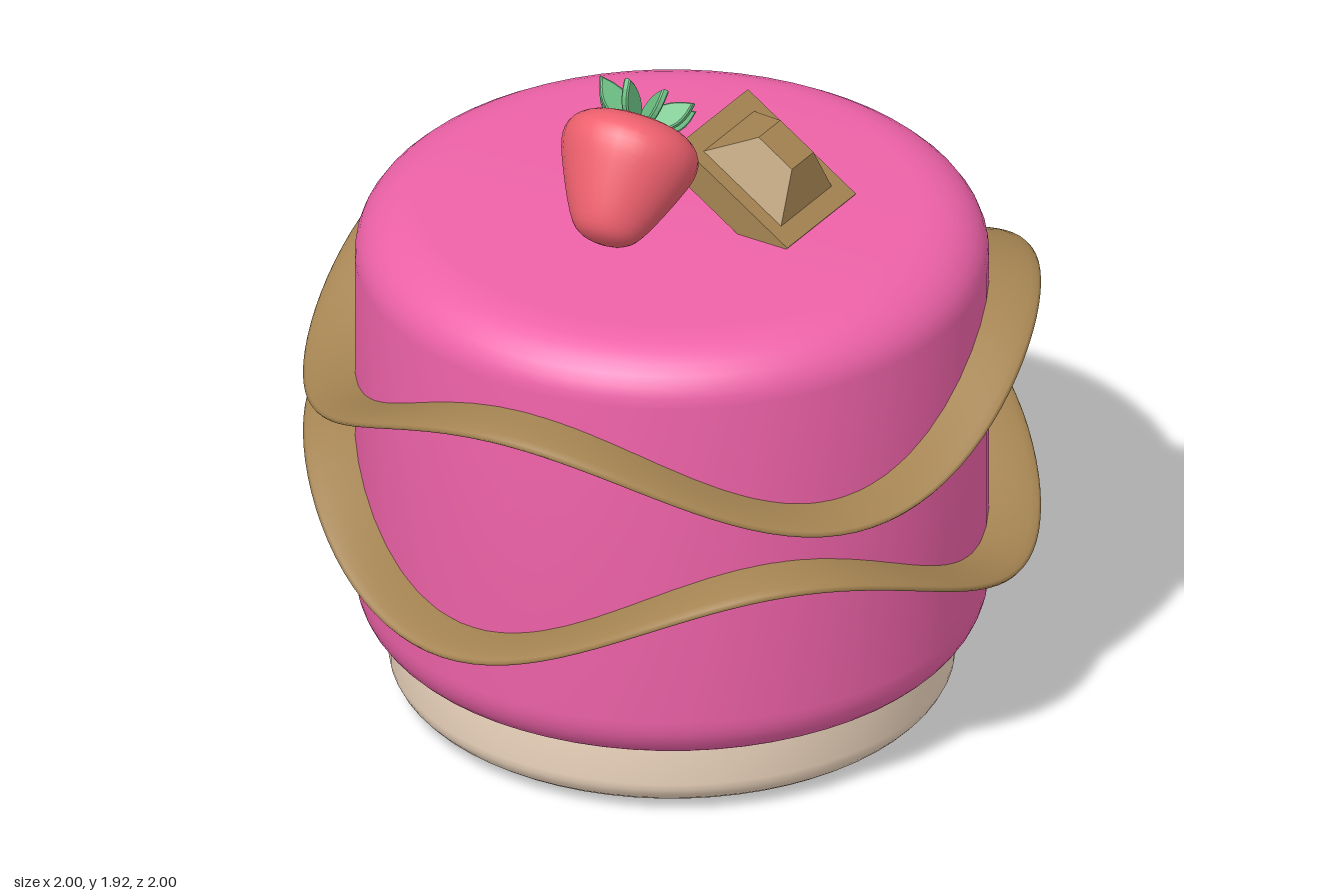
import * as THREE from 'three';
import { mergeVertices, toCreasedNormals } from 'three/addons/utils/BufferGeometryUtils.js';

const mat = (color) => new THREE.MeshStandardMaterial({ color });
const pink = mat(0xee62a8), cream = mat(0xf0d8c0), chocolate = mat(0xa58452);
const red = mat(0xf0616f), green = mat(0x6cc083);

function add(parent, name, geometry, material) {
  const mesh = new THREE.Mesh(geometry, material);
  mesh.name = name;
  parent.add(mesh);
  return mesh;
}

// Upright drum with elliptical rounded bottom and top rims: [width, height]
function roundedDrum(radius, y0, y1, bottom, top) {
  const pts = [new THREE.Vector2(0, y0)];
  const rim = ([w, h], y, dir, from) => {
    for (let i = 0; i <= 8; i++) {
      const a = from + (i / 8) * Math.PI / 2;
      pts.push(new THREE.Vector2(radius - w + w * Math.cos(a), y + dir * h + h * Math.sin(a)));
    }
  };
  rim(bottom, y0, 1, -Math.PI / 2);
  if (top) rim(top, y1, -1, 0);
  else pts.push(new THREE.Vector2(radius, y1));
  pts.push(new THREE.Vector2(0, y1));
  return toCreasedNormals(new THREE.LatheGeometry(pts, 64), 0.6);
}

// Flattened ring that rises and falls three times around the cake
function wavyRing(midY, peakAngle) {
  const g = new THREE.TorusGeometry(0.86, 0.14, 20, 120);
  g.rotateX(Math.PI / 2);
  const p = g.attributes.position;
  for (let i = 0; i < p.count; i++) {
    const a = Math.atan2(p.getX(i), p.getZ(i));
    p.setY(i, p.getY(i) * 0.19 + midY + 0.143 * Math.cos(3 * (a - peakAngle)));
  }
  g.deleteAttribute('uv');
  g.deleteAttribute('normal');
  const merged = mergeVertices(g);
  merged.computeVertexNormals();
  return merged;
}

function makeStrawberry() {
  const group = new THREE.Group();
  group.name = 'strawberry';
  const profile = new THREE.SplineCurve([
    [0, -0.2], [0.06, -0.188], [0.105, -0.145], [0.165, -0.02], [0.19, 0.06],
    [0.175, 0.115], [0.115, 0.152], [0, 0.165],
  ].map(([r, y]) => new THREE.Vector2(r, y)));
  const pts = profile.getPoints(24);
  pts.forEach((v) => { v.x = Math.max(v.x, 0); });
  add(group, 'berry', new THREE.LatheGeometry(pts, 28), red);

  // Upright pointed leaves fanned around the top
  const outline = new THREE.Shape();
  outline.moveTo(0, 0.15);
  outline.quadraticCurveTo(0.04, 0.225, 0.14, 0.23);
  outline.quadraticCurveTo(0.125, 0.15, 0.06, 0.145);
  outline.lineTo(0, 0.15);
  const leaf = new THREE.ExtrudeGeometry(outline, {
    depth: 0.012, bevelEnabled: true, bevelSize: 0.004, bevelThickness: 0.004, bevelSegments: 1, curveSegments: 6,
  }).translate(0, 0, -0.006);
  for (let i = 0; i < 8; i++) {
    add(group, 'leaf', leaf, green).rotation.y = (i / 8) * Math.PI * 2 + 0.2;
  }
  group.position.set(0, 1.65, 0.2);
  const axis = new THREE.Vector3(-0.2, 0.72, -0.66).normalize();
  group.quaternion.setFromUnitVectors(new THREE.Vector3(0, 1, 0), axis);
  return group;
}

// Tilted slab with a raised frustum, origin at the slab's top face
function makeChocolatePiece() {
  const group = new THREE.Group();
  group.name = 'chocolatePiece';
  add(group, 'slab', new THREE.BoxGeometry(0.41, 0.09, 0.35).translate(0, -0.045, 0), chocolate);
  const raised = new THREE.CylinderGeometry(0.06 * Math.SQRT2, 0.14 * Math.SQRT2, 0.11, 4).toNonIndexed();
  raised.rotateY(Math.PI / 4).scale(1.05, 1, 0.92).translate(0, 0.055, 0);
  raised.computeVertexNormals();
  add(group, 'raisedCentre', raised, chocolate);
  group.position.set(0.2, 1.59, -0.165);
  group.rotation.set(0, 0.17, -0.57);
  return group;
}

export function createModel() {
  const model = new THREE.Group();
  model.name = 'cake';
  add(model, 'base', roundedDrum(0.77, 0, 0.22, [0.17, 0.1], null), cream);
  add(model, 'cakeBody', roundedDrum(0.86, 0.205, 1.475, [0.12, 0.14], [0.19, 0.15]), pink);
  add(model, 'lowerWavyRing', wavyRing(0.65, Math.PI / 3), chocolate);
  add(model, 'upperWavyRing', wavyRing(1.09, 0.25), chocolate);
  model.add(makeStrawberry(), makeChocolatePiece());
  return model;
}
